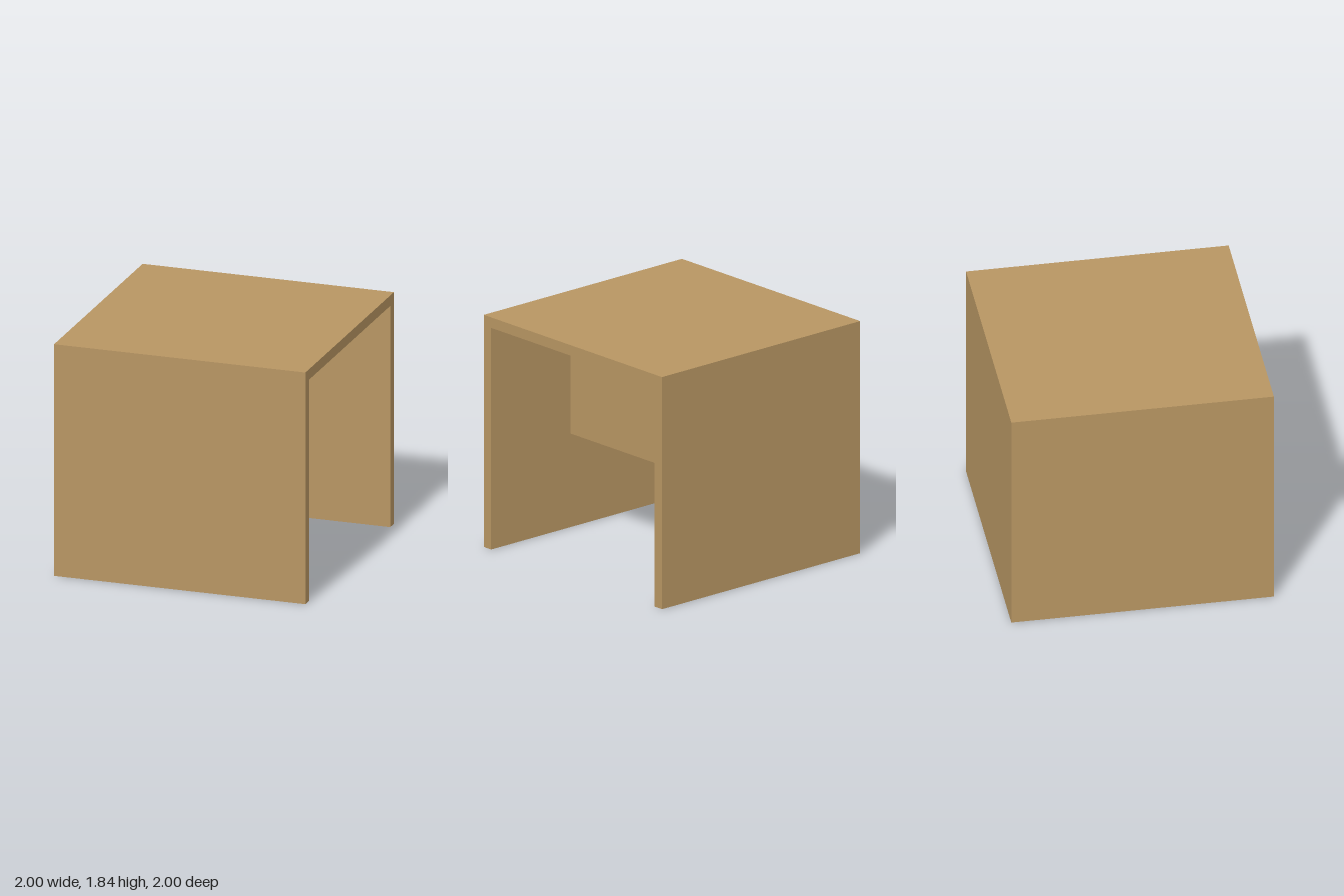
import * as THREE from 'three';

export function createModel() {
  const group = new THREE.Group();
  const wood = new THREE.MeshStandardMaterial({ color: 0xb89663 });
  wood.name = 'tan wood';
  const dark = new THREE.MeshStandardMaterial({ color: 0x000000 });
  dark.name = 'black underside';

  const H = 1.835; // overall height
  const T = 0.083; // panel thickness
  const wallH = H - T;

  // Box given by its minimum and maximum corners
  function panel(name, [x0, y0, z0], [x1, y1, z1], material) {
    const geometry = new THREE.BoxGeometry(x1 - x0, y1 - y0, z1 - z0);
    const mesh = new THREE.Mesh(geometry, material);
    mesh.position.set((x0 + x1) / 2, (y0 + y1) / 2, (z0 + z1) / 2);
    mesh.name = name;
    group.add(mesh);
  }

  // Walls have a black bottom face (fourth box side)
  const wall = [wood, wood, wood, dark, wood, wood];

  panel('topPanel', [-1, wallH, -1], [1, H, 1], wood);
  panel('frontWall', [-1, 0, 1 - T], [1, wallH, 1], wall);
  panel('backWall', [-1, 0, -1], [1, wallH, -1 + T], wall);
  panel('rightWall', [-1, 0, -1 + T], [-1 + T, wallH, 1 - T], wall);

  // Block hung under the top, leaving an open space below and to its left
  panel('innerBlock', [-1 + T, 0.74, -1 + T], [0.2, wallH, 1 - T], wood);

  return group;
}
